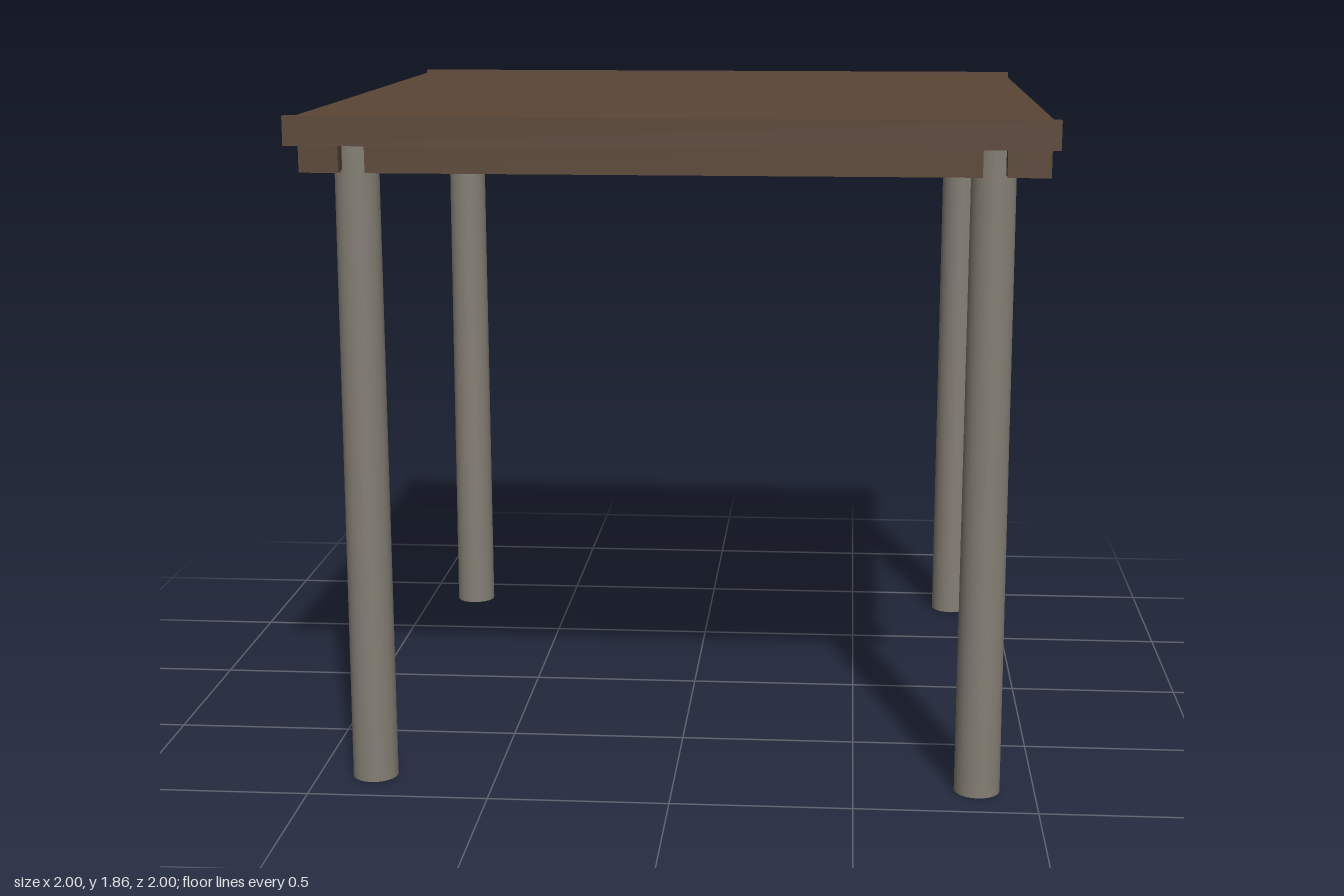
import * as THREE from 'three';

export function createModel() {
  const model = new THREE.Group();
  model.name = 'pavilion';
  const wood = new THREE.MeshStandardMaterial({ color: 0x5a4535 });
  wood.name = 'dark brown wood';
  const stone = new THREE.MeshStandardMaterial({ color: 0x857f74 });
  stone.name = 'warm grey post';

  // Box given by its centre in x and z and its lower and upper height
  const box = (name, w, y0, y1, d, x, z) => {
    const mesh = new THREE.Mesh(new THREE.BoxGeometry(w, y1 - y0, d), wood);
    mesh.position.set(x, (y0 + y1) / 2, z);
    mesh.name = name;
    model.add(mesh);
  };

  // Flat roof deck
  box('roofDeck', 1.975, 1.81, 1.854, 1.95, 0, 0);

  for (const s of [-1, 1]) {
    // Fascia boards standing slightly proud of the deck, front and back
    box('fascia', 2, 1.783, 1.86, 0.026, 0, s * 0.987);
    // Beams running across, and beams running front to back outside the posts
    box('crossBeam', 1.975, 1.702, 1.81, 0.1, 0, s * 0.842);
    box('sideBeam', 0.1, 1.71, 1.81, 1.88, s * 0.92, 0);

    // Slightly tapered round posts, rising into the beams
    for (const t of [-1, 1]) {
      const post = new THREE.Mesh(new THREE.CylinderGeometry(0.059, 0.063, 1.81, 24), stone);
      post.position.set(s * 0.842, 0.905, t * 0.842);
      post.name = 'post';
      model.add(post);
    }
  }
  return model;
}
